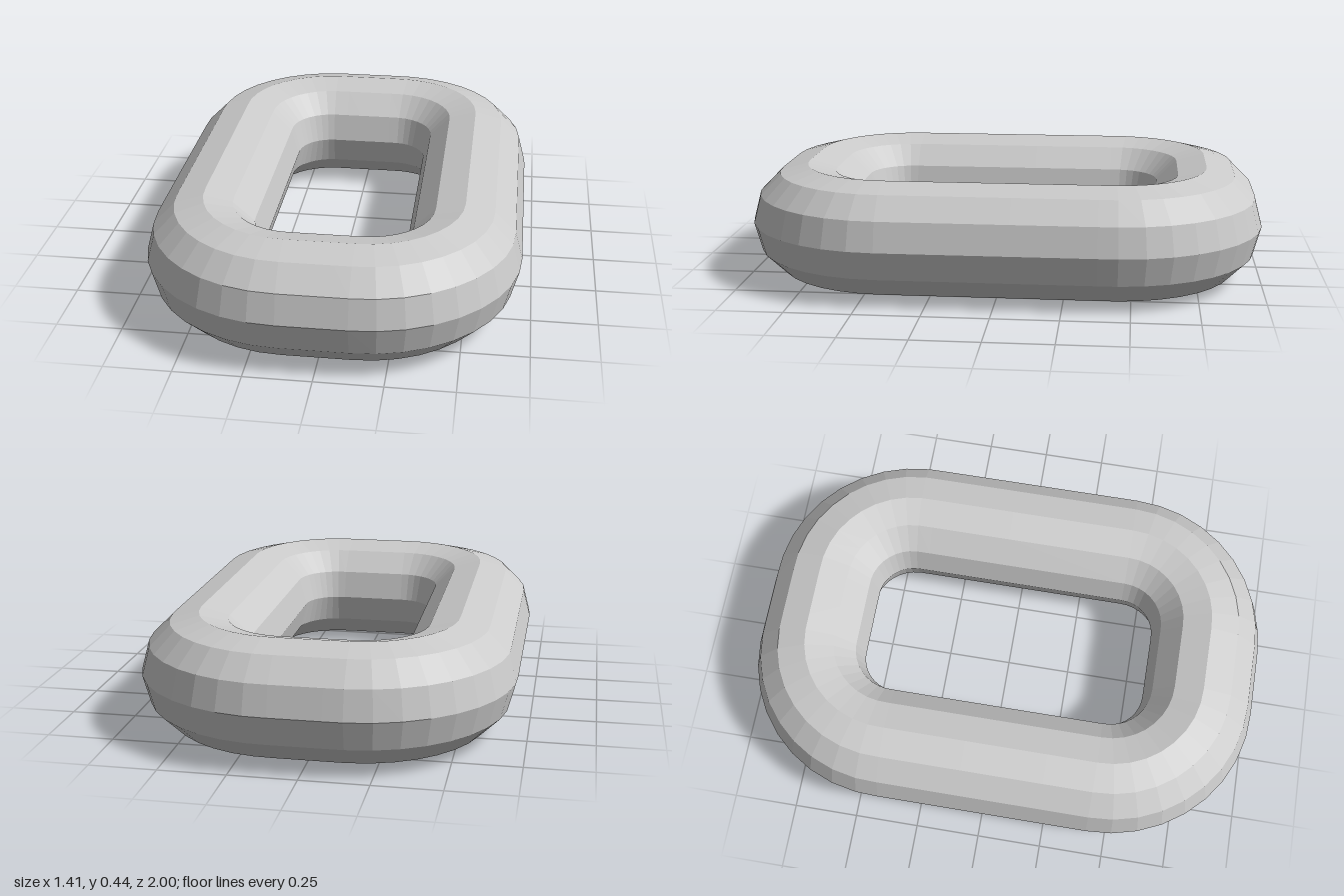
import * as THREE from 'three';

const R = 0.218;                     // radius of the twelve-sided bar
const HX = 0.488, HZ = 1 - R;        // half sizes of the bar's centre line
const CORNER = 0.358;                // bend radius of the centre line

// Rounded rectangle lying flat, starting in the middle of a long side
class LinkPath extends THREE.Curve {
  constructor() {
    super();
    this.arcLengthDivisions = 800;
    const cx = HX - CORNER, cz = HZ - CORNER, q = Math.PI / 2;
    this.outline = new THREE.Path();
    this.outline.moveTo(HX, 0);
    [[cx, cz], [-cx, cz], [-cx, -cz], [cx, -cz]].forEach(([x, z], i) =>
      this.outline.absarc(x, z, CORNER, i * q, (i + 1) * q, false));
    this.outline.lineTo(HX, 0);
  }
  getPoint(t, target = new THREE.Vector3()) {
    const p = this.outline.getPoint(t);
    return target.set(p.x, R, p.y);
  }
}

export function createModel() {
  const group = new THREE.Group();
  group.name = 'chainLink';

  // Closed bar with a faceted round section
  const bar = new THREE.Mesh(
    new THREE.TubeGeometry(new LinkPath(), 64, R, 12, true),
    new THREE.MeshStandardMaterial({ color: 0xcccccc, flatShading: true })
  );
  bar.name = 'linkBar';
  group.add(bar);
  return group;
}
